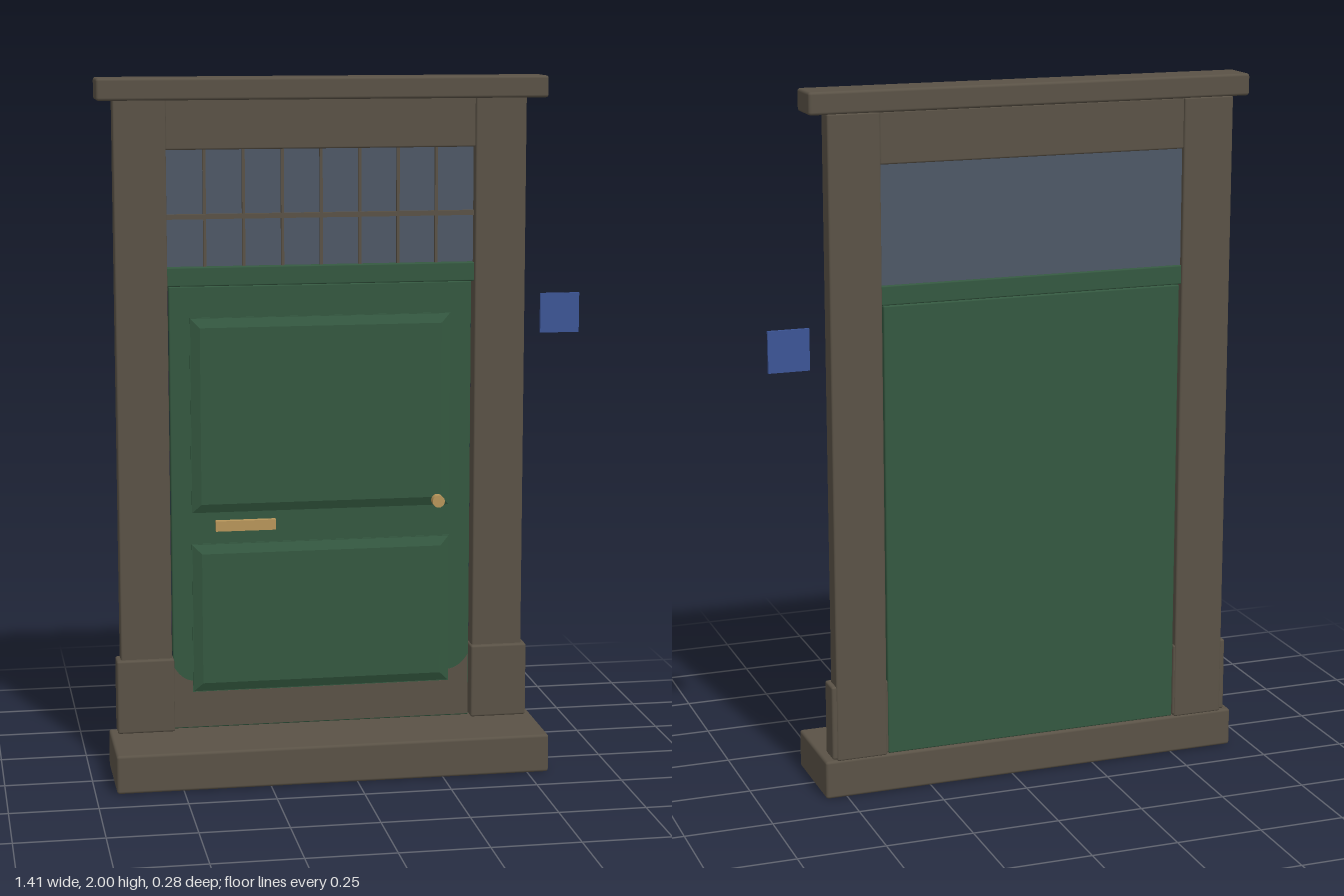
import * as THREE from 'three';
import { RoundedBoxGeometry } from 'three/addons/geometries/RoundedBoxGeometry.js';

const mat = (name, color, side = THREE.FrontSide) => {
  const m = new THREE.MeshStandardMaterial({ color, side });
  m.name = name;
  return m;
};

export function createModel() {
  const group = new THREE.Group();
  group.name = 'frontDoor';
  const stone = mat('stone', 0x5a5246);
  const green = mat('greenPaint', 0x345840);
  const glass = mat('glass', 0x4e5866);
  const brass = mat('brass', 0xb8965a);
  const blue = mat('blueEnamel', 0x3c5596);

  const add = (name, geometry, material) => {
    const mesh = new THREE.Mesh(geometry, material);
    mesh.name = name;
    group.add(mesh);
    return mesh;
  };
  // Box given by its limits on each axis; r rounds the edges
  const box = (name, material, [x0, x1], [y0, y1], [z0, z1], r = 0) => {
    const size = [x1 - x0, y1 - y0, z1 - z0];
    const geo = r ? new RoundedBoxGeometry(...size, 2, r) : new THREE.BoxGeometry(...size);
    const mesh = add(name, geo, material);
    mesh.position.set((x0 + x1) / 2, (y0 + y1) / 2, (z0 + z1) / 2);
    return mesh;
  };

  // Stone surround
  box('step', stone, [-0.69, 0.562], [0, 0.112], [-0.137, 0.138], 0.008);
  box('cornice', stone, [-0.705, 0.578], [1.938, 2], [-0.138, -0.024], 0.008);
  box('header', stone, [-0.51, 0.381], [1.797, 1.94], [-0.13, -0.088], 0.005);
  const cx = -0.064;
  for (const [side, s] of [['right', -1], ['left', 1]]) {
    const span = (a, b) => [cx + s * a, cx + s * b].sort((p, q) => p - q);
    box(side + 'Pillar', stone, span(0.444, 0.592), [0.11, 1.94], [-0.136, -0.08], 0.005);
    box(side + 'Plinth', stone, span(0.439, 0.605), [0.115, 0.332], [-0.134, -0.066], 0.006);
  }

  // Door leaf and the rail above it
  box('doorLeaf', green, [-0.503, 0.375], [0.112, 1.41], [-0.13, -0.105], 0.004);
  box('transomRail', green, [-0.51, 0.381], [1.411, 1.466], [-0.13, -0.092], 0.004);

  // Bevelled raised panels
  const panel = (name, x0, x1, y0, y1) => {
    const geo = new THREE.BoxGeometry(x1 - x0, y1 - y0, 0.014).toNonIndexed();
    const p = geo.attributes.position;
    for (let i = 0; i < p.count; i++) {
      if (p.getZ(i) > 0) {
        p.setX(i, p.getX(i) - Math.sign(p.getX(i)) * 0.028);
        p.setY(i, p.getY(i) - Math.sign(p.getY(i)) * 0.028);
      }
    }
    geo.computeVertexNormals();
    add(name, geo, green).position.set((x0 + x1) / 2, (y0 + y1) / 2, -0.095);
    box(name + 'Backing', green, [x0, x1], [y0, y1], [-0.106, -0.101]);
  };
  panel('upperPanel', -0.445, 0.313, 0.752, 1.32);
  panel('lowerPanel', -0.445, 0.313, 0.222, 0.662);

  // Worn stone-coloured foot of the door, rising at both corners
  const foot = new THREE.Shape();
  foot.moveTo(-0.501, 0.116);
  foot.lineTo(0.373, 0.116);
  foot.lineTo(0.373, 0.3);
  foot.quadraticCurveTo(0.35, 0.26, 0.314, 0.255);
  foot.lineTo(0.314, 0.221);
  foot.lineTo(-0.446, 0.221);
  foot.lineTo(-0.446, 0.255);
  foot.quadraticCurveTo(-0.48, 0.26, -0.501, 0.3);
  add('doorFoot', new THREE.ExtrudeGeometry(foot, { depth: 0.002, bevelEnabled: false }), stone)
    .position.z = -0.1055;

  // Fanlight: one pane behind a grid of glazing bars
  box('fanlightGlass', glass, [-0.51, 0.381], [1.464, 1.8], [-0.122, -0.112]);
  for (let i = 1; i < 8; i++) {
    const x = -0.51 + (i * 0.891) / 8;
    box('glazingBar' + i, stone, [x - 0.004, x + 0.004], [1.465, 1.798], [-0.113, -0.1]);
  }
  box('crossBar', stone, [-0.51, 0.381], [1.601, 1.615], [-0.113, -0.098]);

  // Brass fittings
  box('letterSlot', brass, [-0.376, -0.201], [0.7, 0.73], [-0.106, -0.086]);
  const stem = add('knobStem', new THREE.CylinderGeometry(0.01, 0.01, 0.04, 16), brass);
  stem.rotation.x = Math.PI / 2;
  stem.position.set(0.272, 0.773, -0.088);
  const knob = add('knob', new THREE.CylinderGeometry(0.018, 0.018, 0.026, 20), brass);
  knob.rotation.x = Math.PI / 2;
  knob.position.set(0.272, 0.773, -0.065);

  // House plate beside the door
  box('housePlate', blue, [0.588, 0.704], [1.25, 1.366], [-0.14, -0.131]);
  return group;
}
